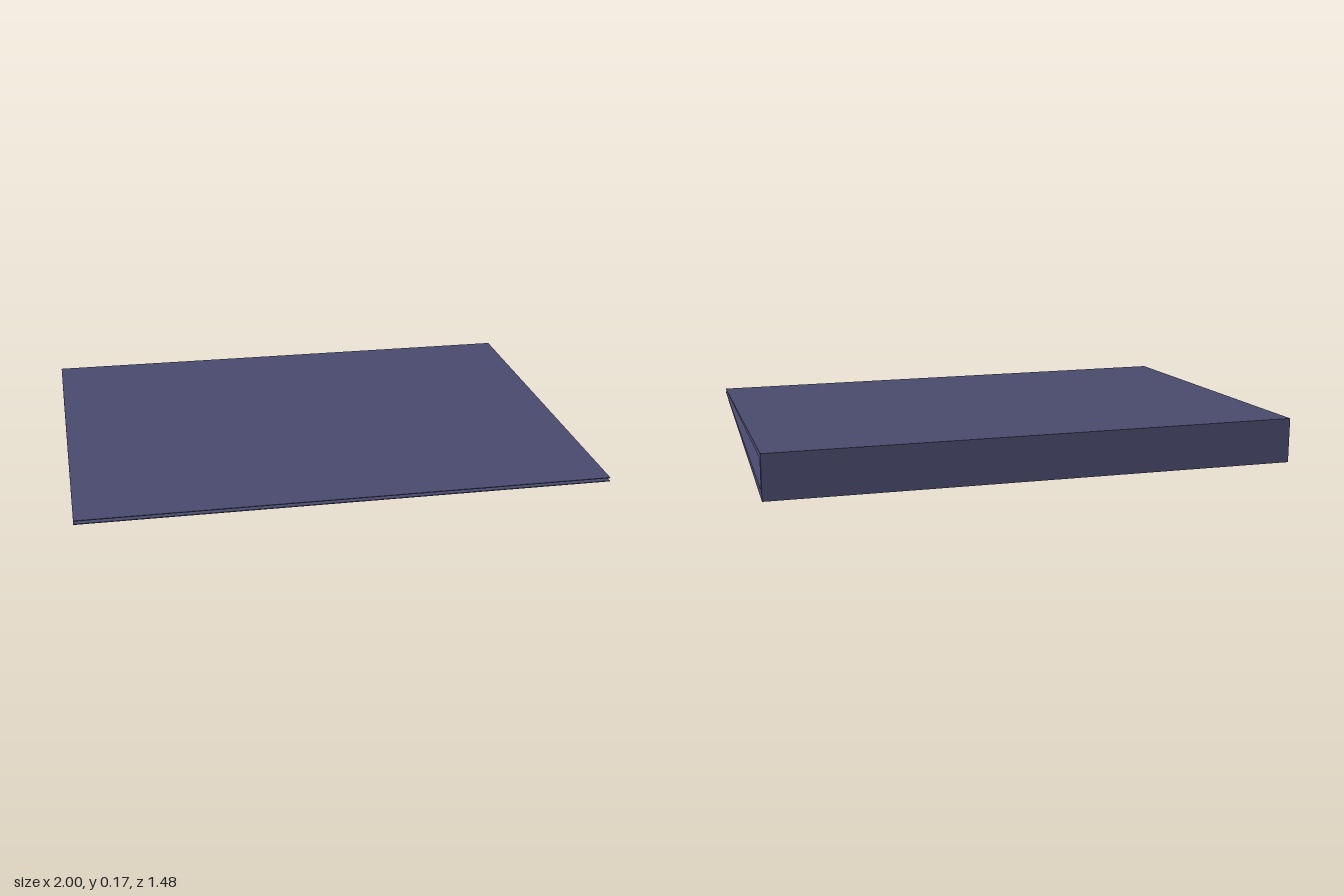
import * as THREE from 'three';

// Extrudes a (z, y) outline along x, centred on x = 0
function extrudeAcross(name, points, width, material, hole) {
  const shape = new THREE.Shape(points.map(([z, y]) => new THREE.Vector2(-z, y)));
  if (hole) shape.holes.push(hole);
  const geometry = new THREE.ExtrudeGeometry(shape, { depth: width, bevelEnabled: false, curveSegments: 24 });
  geometry.translate(0, 0, -width / 2);
  geometry.rotateY(Math.PI / 2);
  const mesh = new THREE.Mesh(geometry, material);
  mesh.name = name;
  return mesh;
}

export function createModel() {
  const group = new THREE.Group();
  group.name = 'book';
  const coverMaterial = new THREE.MeshStandardMaterial({ color: 0x4a4a6e });
  const paperMaterial = new THREE.MeshStandardMaterial({ color: 0xcccccc });

  // Cover: two tapering boards joined by the spine
  group.add(extrudeAcross('cover', [
    [-0.74, 0], [0.74, 0.08], [0.74, 0.083], [-0.706, 0.032],
    [-0.706, 0.147], [0.74, 0.093], [0.74, 0.096], [-0.74, 0.172],
  ], 2, coverMaterial));

  // Wedge of pages, set in from the cover ends
  const pageWidth = 1.57;
  group.add(extrudeAcross('pages', [
    [-0.675, 0.046], [0.68, 0.084], [0.68, 0.093], [-0.675, 0.137],
  ], pageWidth, paperMaterial));

  // Hollow binding between pages and spine
  const hollow = new THREE.Path().absellipse(0.691, 0.091, 0.0145, 0.044, 0, Math.PI * 2);
  group.add(extrudeAcross('binding', [
    [-0.706, 0.033], [-0.675, 0.034], [-0.675, 0.145], [-0.706, 0.146],
  ], pageWidth, paperMaterial, hollow));

  return group;
}
